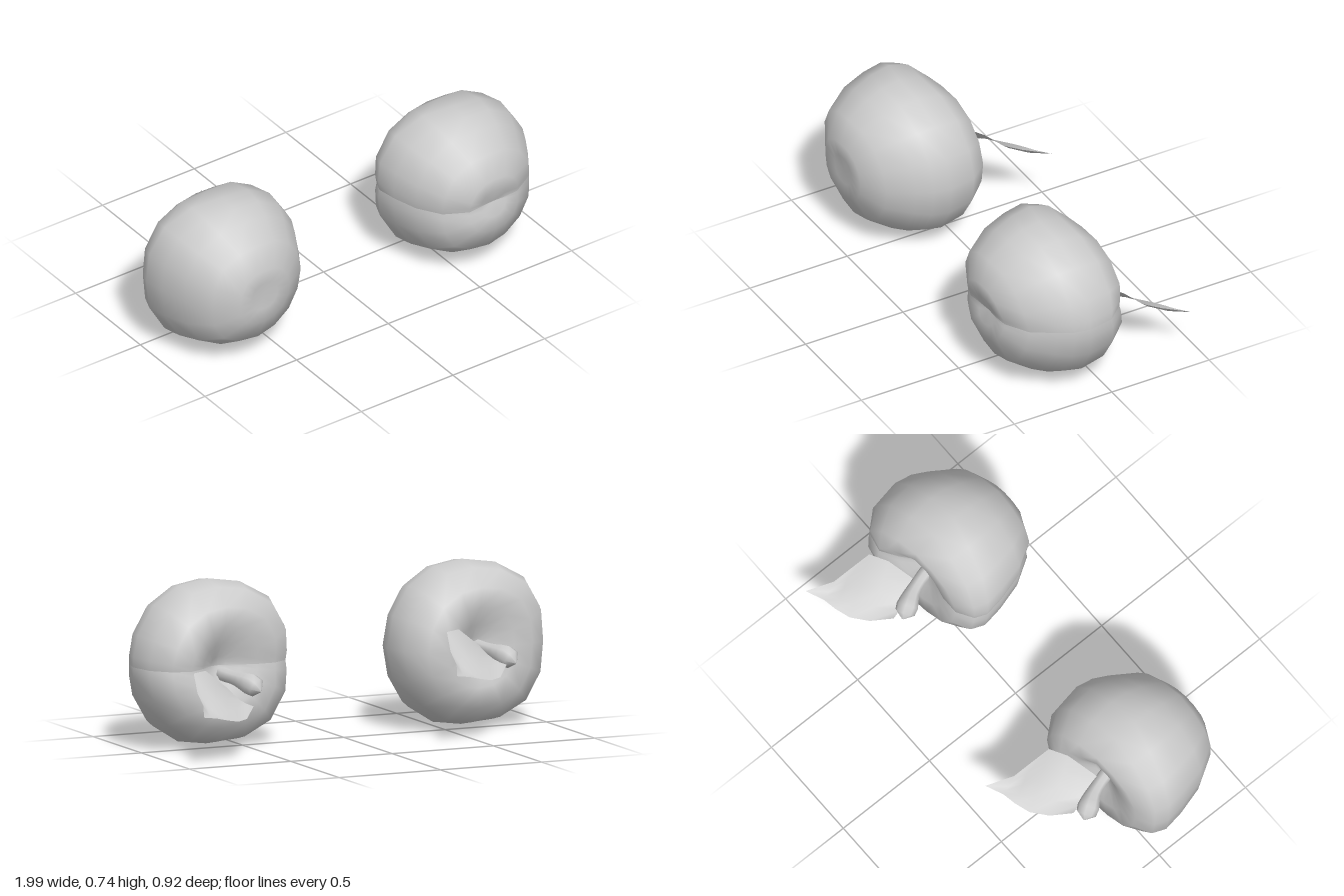
import * as THREE from 'three';
import { mergeVertices } from 'three/addons/utils/BufferGeometryUtils.js';

const CX = -0.6325, CY = 0.375;

// Rings from the base (front) to the stem hollow (back):
// radius, then depth at the right side, at top/bottom, and at the left side
const RINGS = [
  [0.0, 0.44, 0.44, 0.44], [0.07, 0.447, 0.447, 0.442], [0.14, 0.455, 0.448, 0.435],
  [0.25, 0.395, 0.4, 0.365], [0.32, 0.28, 0.3, 0.25], [0.355, 0.15, 0.22, 0.18],
  [0.37, 0.05, 0.13, 0.1], [0.347, -0.01, 0.02, -0.03], [0.27, -0.06, -0.08, -0.12],
  [0.18, -0.06, -0.075, -0.14], [0.1, -0.04, -0.045, -0.085], [0.04, -0.02, -0.02, -0.03],
  [0.0, -0.015, -0.015, -0.015],
];

const material = (side = THREE.FrontSide) => new THREE.MeshStandardMaterial({ color: 0xcccccc, side });

// Smooth skin over a grid of points (rows x columns)
function skin(rows) {
  const pos = rows.flat(2), idx = [], n = rows[0].length;
  for (let i = 0; i < rows.length - 1; i++) {
    for (let j = 0; j < n - 1; j++) {
      const a = i * n + j, b = a + n;
      idx.push(a, b, a + 1, b, b + 1, a + 1);
    }
  }
  let g = new THREE.BufferGeometry();
  g.setAttribute('position', new THREE.Float32BufferAttribute(pos, 3));
  g.setIndex(idx);
  g = mergeVertices(g, 1e-4);
  g.computeVertexNormals();
  return g;
}

// Part of the fruit between two angles, slightly squared in section;
// groove pulls the surface in along the cut
function flesh(name, angles, groove = 0) {
  const rows = RINGS.map(([r, zr, zv, zl]) => angles.map((t) => {
    const c = Math.cos(t), s = Math.sin(t);
    const z = THREE.MathUtils.lerp(zv, c > 0 ? zl : zr, Math.abs(c)) + 0.04 * r * s;
    const lobe = r * (1 + (0.05 - 0.025 * c) * Math.sin(2 * t) ** 2);
    const x = lobe * c - 0.06 * r * Math.max(s, 0);
    const k = 1 - groove * Math.exp(-((r * s / 0.05) ** 2));
    return [CX + x * (0.7 + 0.3 * k), CY + lobe * s, 0.15 + (z - 0.15) * k];
  }));
  const mesh = new THREE.Mesh(skin(rows), material());
  mesh.name = name;
  return mesh;
}

// Short bent stem with a swollen, rounded end
function stem() {
  const path = new THREE.CatmullRomCurve3([
    [-0.65, 0.375, 0.0], [-0.665, 0.37, -0.06], [-0.69, 0.36, -0.13], [-0.72, 0.345, -0.18], [-0.745, 0.32, -0.225],
  ].map((p) => new THREE.Vector3(...p)));
  const radii = [0.031, 0.031, 0.03, 0.031, 0.035, 0.043, 0.05, 0.046, 0.003];
  const len = radii.length - 1, sides = 8;
  const g = new THREE.TubeGeometry(path, len, 1, sides);
  const p = g.attributes.position, v = new THREE.Vector3();
  for (let i = 0; i <= len; i++) {
    const c = path.getPointAt(i / len);
    for (let j = 0; j <= sides; j++) {
      const k = i * (sides + 1) + j;
      v.fromBufferAttribute(p, k).sub(c).multiplyScalar(radii[i]).add(c);
      p.setXYZ(k, v.x, v.y, v.z);
    }
  }
  g.deleteAttribute('uv');
  g.deleteAttribute('normal');
  const smooth = mergeVertices(g, 1e-4);
  smooth.computeVertexNormals();
  const mesh = new THREE.Mesh(smooth, material());
  mesh.name = 'stem';
  return mesh;
}

// Thin curved leaf: low edge, sagging midrib and high edge at each station
function leaf() {
  const stations = [
    [[-0.69, 0.32, -0.24], [-0.645, 0.38, -0.06]],
    [[-0.62, 0.28, -0.32], [-0.51, 0.475, -0.12]],
    [[-0.55, 0.28, -0.378], [-0.43, 0.475, -0.165]],
    [[-0.48, 0.295, -0.405], [-0.408, 0.40, -0.25]],
    [[-0.42, 0.31, -0.42], [-0.395, 0.355, -0.34]],
    [[-0.34, 0.325, -0.46], [-0.34, 0.325, -0.46]],
  ];
  const rows = stations.map(([a, b], i) => {
    const sag = i < 5 ? 0.015 : 0;
    return [0, 0.25, 0.5, 0.75, 1].map((t) => a.map((v, k) =>
      THREE.MathUtils.lerp(v, b[k], t) - (k === 1 ? sag * Math.sin(Math.PI * t) : 0)));
  });
  const mesh = new THREE.Mesh(skin(rows), material(THREE.DoubleSide));
  mesh.name = 'leaf';
  return mesh;
}

export function createModel() {
  const model = new THREE.Group();

  // Whole fruit
  const whole = new THREE.Group();
  whole.name = 'wholeApple';
  const around = Array.from({ length: 17 }, (_, i) => (i / 8) * Math.PI);
  whole.add(flesh('flesh', around), stem(), leaf());

  // Fruit cut into an upper and a lower half
  const cut = new THREE.Group();
  cut.name = 'cutApple';
  cut.position.x = 1.26;
  const arc = [0, 0.12, 0.39, 0.79, 1.18, 1.57, 1.96, 2.36, 2.75, 3.02, Math.PI];
  const cutStem = stem(), cutLeaf = leaf();
  cutStem.position.y = -0.04;
  cutLeaf.position.set(-0.01, -0.1, 0);
  cut.add(
    flesh('upperHalf', arc, 0.07),
    flesh('lowerHalf', arc.map((t) => t + Math.PI), 0.07),
    cutStem, cutLeaf,
  );

  model.add(whole, cut);
  return model;
}
